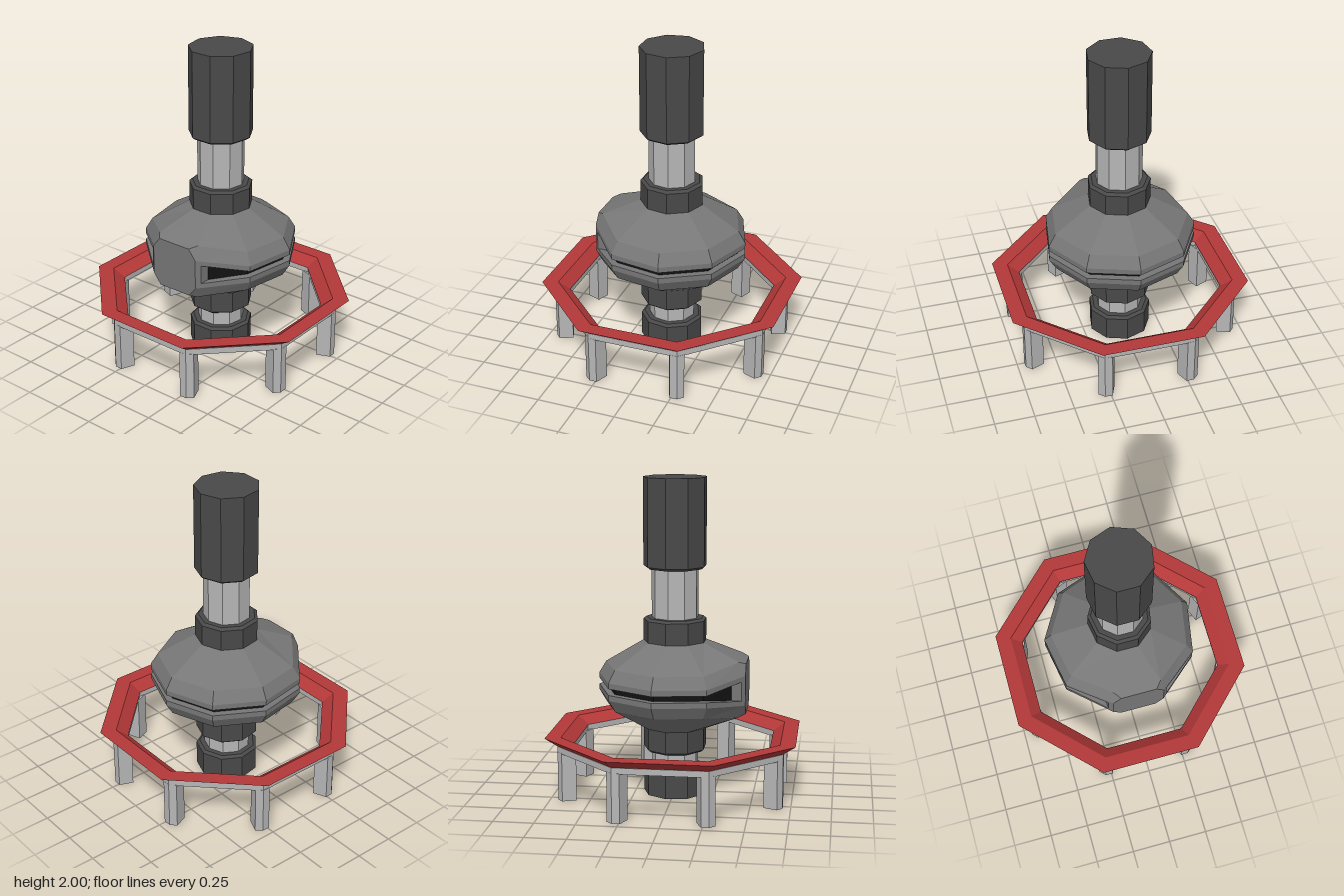
import * as THREE from 'three';

const mat = (name, color) => new THREE.MeshStandardMaterial({ name, color, flatShading: true, side: THREE.DoubleSide });

// Faceted solid of revolution; profile runs bottom to top on the outside
function turned(name, profile, sides, phi, material) {
  const pts = profile.map(([r, y]) => new THREE.Vector2(r, y));
  const mesh = new THREE.Mesh(new THREE.LatheGeometry(pts, sides, phi), material);
  mesh.name = name;
  return mesh;
}

const MID = 0.705;

// Nine-sided pod: one quarter is described, then mirrored left/right and up/down
function podGeometry() {
  const pos = [];
  const poly = (...p) => {
    for (const sx of [1, -1]) for (const sy of [1, -1]) {
      const q = p.map(([x, y, z]) => [x * sx, MID + (y - MID) * sy, z]);
      if (sx * sy < 0) q.reverse();
      for (let i = 1; i < q.length - 1; i++) pos.push(...q[0], ...q[i], ...q[i + 1]);
    }
  };
  // rings: radius, height, height at the front corners
  const rings = [[0.2, 0.98, 0.98], [0.44, 0.835, 0.88], [0.485, 0.76, 0.8], [0.485, 0.725, 0.77], [0.43, 0.725, 0.77]];
  const at = (k, deg) => {
    const [r, y, yFront] = rings[k], a = THREE.MathUtils.degToRad(deg);
    return [r * Math.sin(a), deg === 20 ? yFront : y, r * Math.cos(a)];
  };
  // shell facets, with the slot flaring open towards the front
  for (let deg = 20; deg < 180; deg += 40)
    for (let k = 0; k < 4; k++)
      poly(at(k + 1, deg), at(k + 1, deg + 40), at(k, deg + 40), at(k, deg));
  // front block: octagonal face, sloped top, corner bevel
  const A = at(0, 20), B = at(1, 20), C = at(2, 20), D = at(3, 20);
  const T = [0.115, 0.864, C[2]], T0 = [0, 0.864, C[2]];
  poly(T0, T, B, A, [0, A[1], A[2]]);
  poly(T, C, B);
  poly([0, MID, C[2]], [C[0], MID, C[2]], C, T, T0);
  // cheek beside the slot
  const P = [0.192, 0.766, 0.434], Q = [0.2, 0.766, 0.365];
  const mid = ([x, , z]) => [x, MID, z];
  poly(mid(D), mid(P), P, D);
  poly(mid(P), mid(Q), Q, P);
  const g = new THREE.BufferGeometry();
  g.setAttribute('position', new THREE.Float32BufferAttribute(pos, 3));
  g.computeVertexNormals();
  return g;
}

export function createModel() {
  const dark = mat('dark grey', 0x494949);
  const grey = mat('mid grey', 0x777777);
  const metal = mat('light metal', 0xb6b6b6);
  const red = mat('red', 0xb43838);
  const black = mat('black', 0x121212);
  const model = new THREE.Group();
  model.name = 'podTower';

  // Central column
  const column = new THREE.Group();
  column.name = 'column';
  const post = (name, profile, m) => column.add(turned(name, profile, 9, Math.PI, m));
  post('pipe', [[0.148, 0.1], [0.148, 1.5]], metal);
  post('base', [[0, 0], [0.2, 0], [0.2, 0.158], [0.18, 0.173], [0.14, 0.173]], dark);
  post('lowerCollar', [[0.14, 0.277], [0.18, 0.277], [0.2, 0.292], [0.2, 0.44]], dark);
  post('upperCollar', [[0.2, 0.97], [0.2, 1.115], [0.18, 1.13], [0.14, 1.13]], dark);
  post('topCylinder', [[0.14, 1.437], [0.18, 1.437], [0.2, 1.452], [0.2, 2], [0, 2]], dark);
  model.add(column);

  // Pod with its dark core showing through the slot
  const pod = new THREE.Mesh(podGeometry(), grey);
  pod.name = 'pod';
  model.add(pod, turned('podCore', [[0.44, 0.63], [0.44, 0.78]], 9, Math.PI, black));

  // Octagonal table; sizes are measured to the flats
  const flat = (pts) => pts.map(([d, y]) => [d / Math.cos(Math.PI / 8), y]);
  model.add(turned('tableTop', flat([[0.61, 0.345], [0.7, 0.345], [0.775, 0.4], [0.68, 0.4], [0.61, 0.345]]), 8, Math.PI / 8, red));
  model.add(turned('tableFrame', flat([[0.615, 0.305], [0.7, 0.305], [0.7, 0.344], [0.615, 0.344], [0.615, 0.305]]), 8, Math.PI / 8, metal));

  // Legs follow the bend at each corner
  const section = new THREE.Shape([[0, 0.758], [0.045, 0.741], [0.045, 0.65], [-0.045, 0.65], [-0.045, 0.741]]
    .map(([x, z]) => new THREE.Vector2(x, -z)));
  const legGeo = new THREE.ExtrudeGeometry(section, { depth: 0.31, bevelEnabled: false }).rotateX(-Math.PI / 2);
  const legs = new THREE.Group();
  legs.name = 'legs';
  for (let i = 0; i < 8; i++) {
    const leg = new THREE.Mesh(legGeo, metal);
    leg.name = 'leg';
    leg.rotation.y = Math.PI / 8 + i * Math.PI / 4;
    legs.add(leg);
  }
  model.add(legs);
  return model;
}
